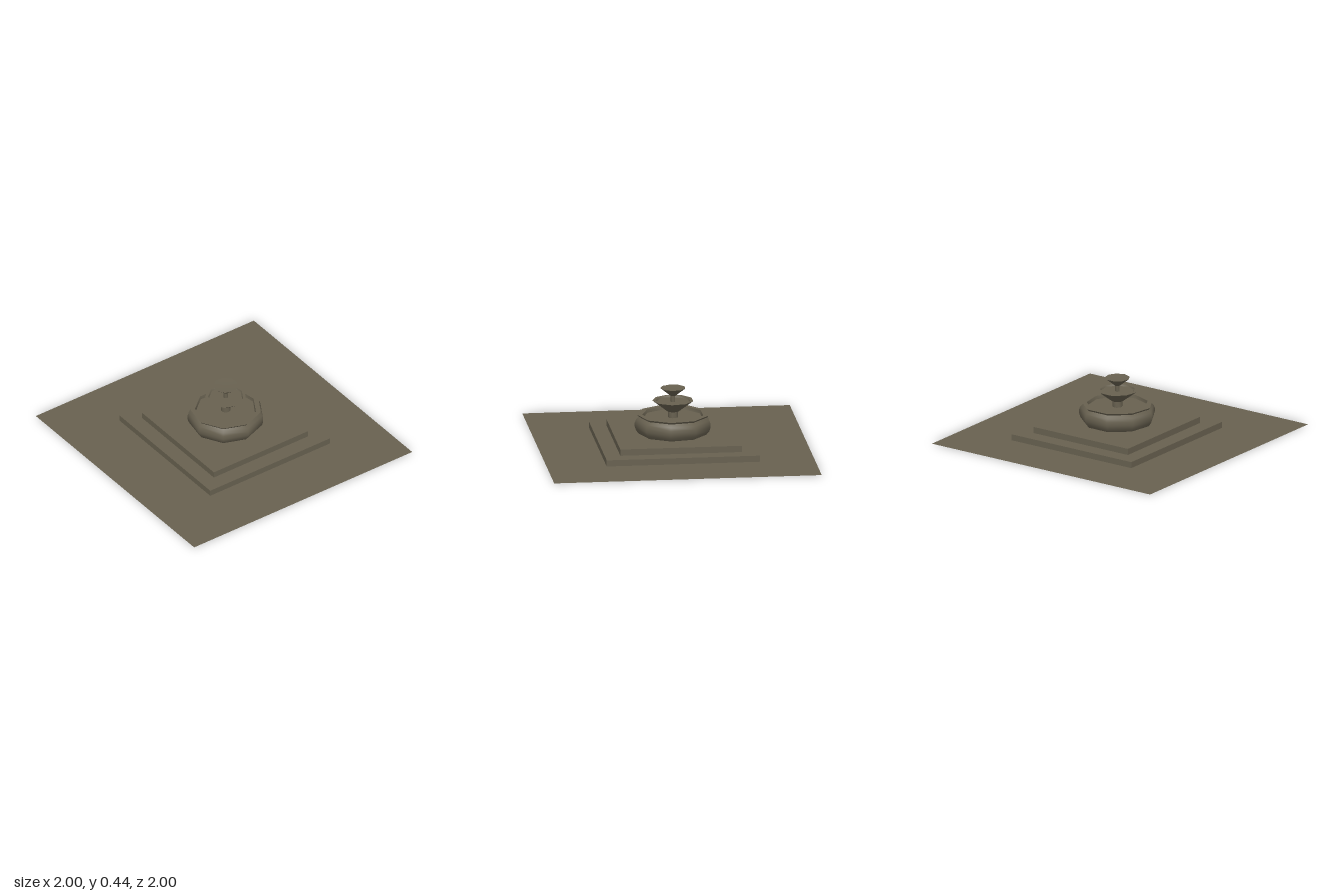
import * as THREE from 'three';
import { toCreasedNormals } from 'three/addons/utils/BufferGeometryUtils.js';

const SIDES = 9;

export function createModel() {
  const group = new THREE.Group();
  const stone = new THREE.MeshStandardMaterial({ color: 0x686150, side: THREE.DoubleSide });
  stone.name = 'stone';

  const add = (name, geometry, x, y, z) => {
    const mesh = new THREE.Mesh(geometry, stone);
    mesh.name = name;
    mesh.position.set(x, y, z);
    group.add(mesh);
    return mesh;
  };

  // Nine-sided turned part with one corner on +x; profile runs bottom to top, then inwards
  const turned = (name, profile) => {
    const points = profile.map(([r, y]) => new THREE.Vector2(r, y));
    const geometry = new THREE.LatheGeometry(points, SIDES, Math.PI / 2);
    return add(name, toCreasedNormals(geometry, 0.85), -0.005, 0, -0.02);
  };

  // Ground sheet
  const ground = new THREE.PlaneGeometry(2, 2);
  ground.rotateX(-Math.PI / 2);
  add('ground', ground, 0, 0, 0);

  // Two square steps
  add('lowerStep', new THREE.BoxGeometry(1.145, 0.047, 1.1), -0.0165, 0.0235, -0.02);
  add('upperStep', new THREE.BoxGeometry(0.91, 0.048, 0.865), -0.015, 0.071, -0.02);

  // Rounded basin with an undercut lip and sunken floor
  turned('basin', [
    [0.255, 0.095], [0.277, 0.122], [0.286, 0.15], [0.286, 0.18],
    [0.277, 0.205], [0.257, 0.226], [0.268, 0.24], [0.23, 0.24],
    [0.225, 0.215], [0, 0.215],
  ]);

  // Lower stem and middle bowl
  turned('lowerStem', [[0.037, 0.215], [0.037, 0.27]]);
  turned('middleBowl', [
    [0, 0.262], [0.045, 0.262], [0.154, 0.346], [0.132, 0.346], [0.125, 0.334], [0, 0.334],
  ]);

  // Upper stem and top bowl
  turned('upperStem', [[0.017, 0.334], [0.017, 0.388]]);
  turned('topBowl', [[0, 0.38], [0.02, 0.38], [0.094, 0.44], [0, 0.434]]);

  return group;
}
